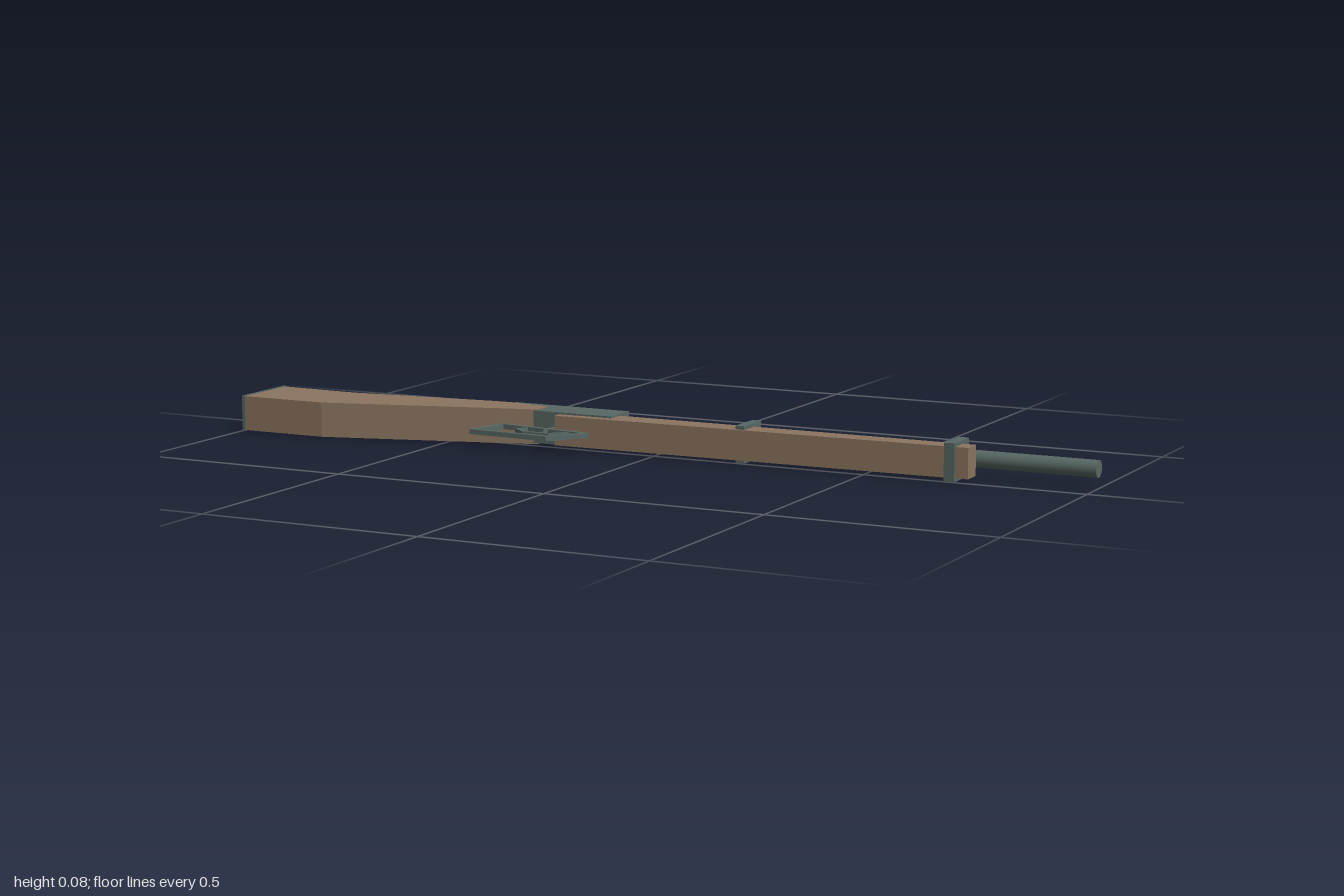
import * as THREE from 'three';

const MID = 0.0415; // centre plane of the weapon, which lies on its side

export function createModel() {
  const group = new THREE.Group();
  const wood = new THREE.MeshStandardMaterial({ color: 0x8b7560 });
  wood.name = 'wood';
  const steel = new THREE.MeshStandardMaterial({ color: 0x586864 });
  steel.name = 'steel';

  const add = (name, geometry, material, parent = group) => {
    const mesh = new THREE.Mesh(geometry, material);
    mesh.name = name;
    parent.add(mesh);
    return mesh;
  };

  // Side profile given as [x, z] points, extruded upwards from y0 to y1
  const slab = (name, points, y0, y1, material) => {
    const shape = new THREE.Shape(points.map(([x, z]) => new THREE.Vector2(x, -z)));
    const geometry = new THREE.ExtrudeGeometry(shape, { depth: y1 - y0, bevelEnabled: false });
    geometry.rotateX(-Math.PI / 2).translate(0, y0, 0);
    return add(name, geometry, material);
  };

  // Box given by its extents on each axis
  const block = (name, [x0, x1], [y0, y1], [z0, z1], material) => {
    const mesh = add(name, new THREE.BoxGeometry(x1 - x0, y1 - y0, z1 - z0), material);
    mesh.position.set((x0 + x1) / 2, (y0 + y1) / 2, (z0 + z1) / 2);
    return mesh;
  };

  // Bent square rod through [x, z] points in the centre plane
  const rod = (name, points, size) => {
    const part = new THREE.Group();
    part.name = name;
    group.add(part);
    for (let i = 0; i < points.length - 1; i++) {
      const [ax, az] = points[i], [bx, bz] = points[i + 1];
      const length = Math.hypot(bx - ax, bz - az) + size * 0.7;
      const bar = add(name + 'Bar', new THREE.BoxGeometry(length, size, size), steel, part);
      bar.position.set((ax + bx) / 2, MID, (az + bz) / 2);
      bar.rotation.y = -Math.atan2(bz - az, bx - ax);
    }
  };

  // Wooden furniture
  slab('buttStock', [
    [-0.993, -0.042], [-0.993, 0.125], [-0.785, 0.125], [-0.3, -0.01],
    [-0.3, -0.06], [-0.4, -0.076], [-0.45, -0.074], [-0.8, -0.035],
  ], 0.002, 0.081, wood);
  slab('forearm', [
    [-0.24, -0.05], [-0.24, 0.016], [0.735, -0.007], [0.735, -0.052],
  ], 0.008, 0.075, wood);
  block('buttPlate', [-1, -0.992], [0.001, 0.082], [-0.045, 0.127], steel);

  // Receiver and barrel
  block('receiver', [-0.4, -0.11], [0.005, 0.079], [-0.093, -0.008], steel);
  const barrel = add('barrel', new THREE.CylinderGeometry(0.019, 0.019, 1.13, 16), steel);
  barrel.rotation.z = -Math.PI / 2;
  barrel.position.set(0.435, MID, -0.072);

  // Barrel bands
  block('rearBand', [0.198, 0.219], [0.001, 0.083], [-0.086, -0.001], steel);
  block('frontBand', [0.682, 0.706], [0, 0.083], [-0.086, -0.003], steel);

  // Sights
  for (const side of [-1, 1]) {
    const y = MID + side * 0.0165;
    block('rearSightPost', [-0.171, -0.146], [y - 0.008, y + 0.008], [-0.125, -0.101], steel);
  }
  block('frontSight', [0.946, 0.958], [0.035, 0.048], [-0.126, -0.098], steel);

  // Loop lever, trigger guard and trigger
  rod('leverLoop', [
    [-0.372, 0.014], [-0.398, 0.108], [-0.207, 0.117], [-0.147, 0.043], [-0.372, 0.014],
  ], 0.011);
  rod('triggerGuard', [
    [-0.3, 0.02], [-0.316, 0.051], [-0.285, 0.075], [-0.222, 0.075], [-0.187, 0.038], [-0.187, 0.01],
  ], 0.008);
  rod('trigger', [[-0.248, -0.002], [-0.254, 0.03], [-0.242, 0.055]], 0.009);

  return group;
}
